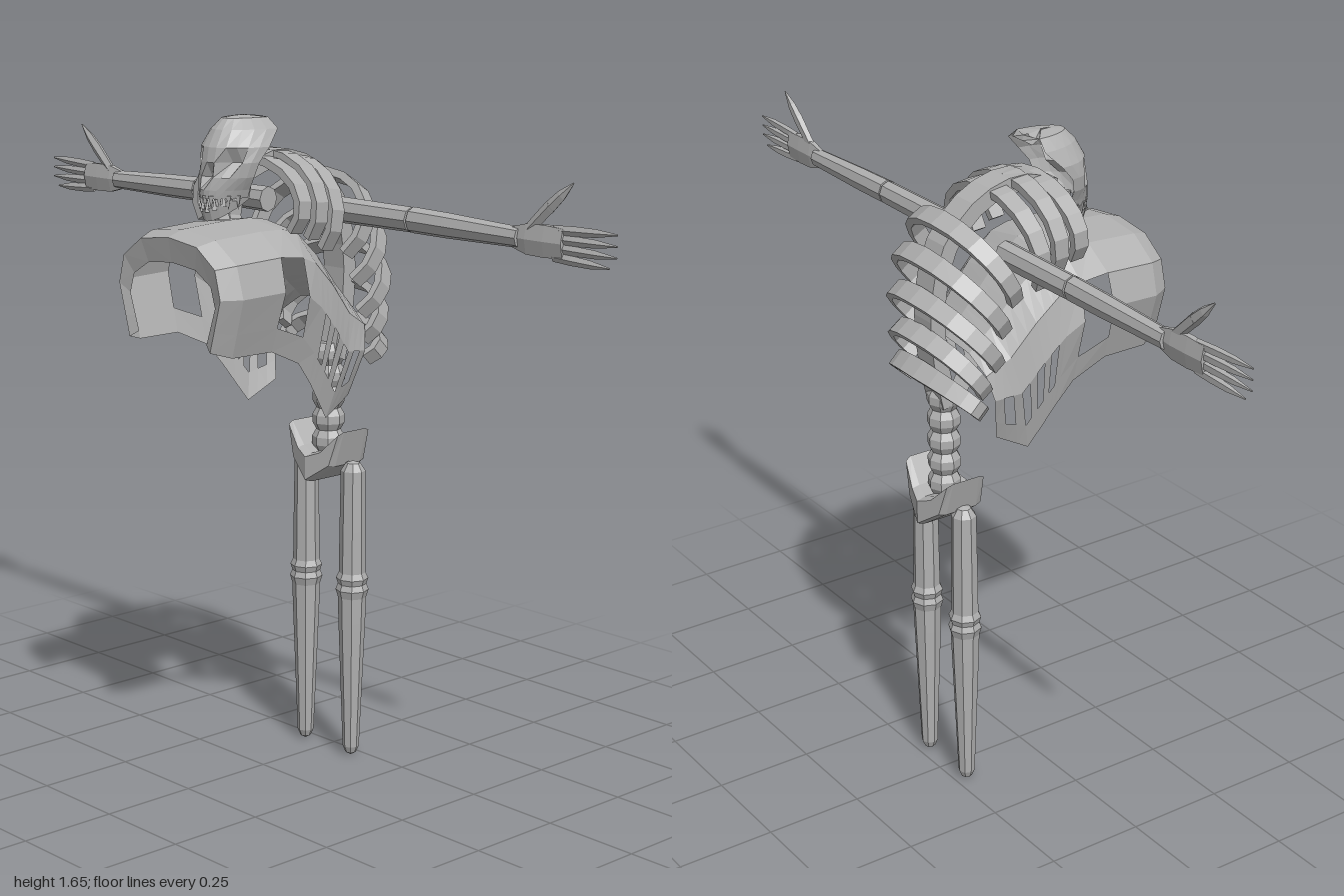
import * as THREE from 'three';

const bone = new THREE.MeshStandardMaterial({ color: 0xb0b0b0, flatShading: true, side: THREE.DoubleSide });
bone.name = 'bone grey';
const V = (x, y, z) => new THREE.Vector3(x, y, z);
const lerp = THREE.MathUtils.lerp;

function add(parent, name, geometry, x = 0, y = 0, z = 0) {
  const m = new THREE.Mesh(geometry, bone);
  m.name = name;
  m.position.set(x, y, z);
  parent.add(m);
  return m;
}

// Surface through rows of points; cells for which skip(row, column) holds stay open
function sheet(rows, skip = () => false) {
  const w = rows[0].length, idx = [];
  for (let i = 0; i < rows.length - 1; i++) for (let j = 0; j < w - 1; j++) {
    if (skip(i, j)) continue;
    const a = i * w + j, b = a + 1, c = a + w, d = c + 1;
    idx.push(a, c, b, b, c, d);
  }
  const g = new THREE.BufferGeometry().setFromPoints(rows.flat());
  g.setIndex(idx);
  const flat = g.toNonIndexed();
  flat.computeVertexNormals();
  return flat;
}

// Bar with a rectangular section: centre points and two half-size vectors at each
function bar(path) {
  const rows = path.map(({ c, u, v }) => [[1, 1], [1, -1], [-1, -1], [-1, 1], [1, 1]]
    .map(([p, q]) => c.clone().addScaledVector(u, p).addScaledVector(v, q)));
  const cap = c => Array.from({ length: 5 }, () => c.clone());
  return sheet([cap(path[0].c), ...rows, cap(path[path.length - 1].c)]);
}

const lathe = (pts, n) => new THREE.LatheGeometry(pts.map(([r, y]) => new THREE.Vector2(r, y)), n);

// Chest shell: arched stations from the front lip to the back
function chestShell(parent) {
  const key = [ // top z, top y, bottom z, bottom y, half width
    [.295, 1.325, .295, 1.145, .155], [.305, 1.385, .305, 1.13, .185], [.26, 1.4, .255, 1.115, .212],
    [.12, 1.408, .135, 1.115, .215], [.05, 1.408, .045, 1.075, .21], [0, 1.4, 0, 1.02, .2],
    [-.075, 1.335, -.035, .97, .19], [-.15, 1.25, -.07, .92, .178], [-.205, 1.19, -.155, .965, .165]];
  const st = key.slice(0, 6);
  for (let k = 5; k < 8; k++) for (let s = 1; s <= 3; s++) st.push(key[k].map((v, i) => lerp(v, key[k + 1][i], s / 3)));
  const half = [[.8, 0], [.88, .2], [1, .5], [.9, .77], [.55, .95]];
  const arch = [...half.map(([u, v]) => [-u, v]), [0, 1], ...half.slice().reverse()];
  const rows = st.map(([tz, ty, bz, by, w]) => arch.map(([u, v]) => V(.008 + u * w, lerp(by, ty, v), lerp(bz, tz, v))));
  const skip = (i, j) => {
    const r = Math.min(j, 9 - j);
    return (i === 3 && (r === 1 || r === 2)) || (i > 5 && i < 14 && i % 2 === 0 && r === 1);
  };
  add(parent, 'chestShell', sheet(rows, skip));
}

function ribCage(parent) {
  // Ribs: spine end z, y and side end z, y
  const ribs = [[.03, 1.55, .045, 1.39], [-.025, 1.56, -.01, 1.37], [-.085, 1.545, -.055, 1.34],
    [-.225, 1.49, -.125, 1.32], [-.275, 1.41, -.155, 1.25], [-.29, 1.315, -.175, 1.17],
    [-.29, 1.22, -.2, 1.1], [-.285, 1.125, -.21, 1.05]];
  ribs.forEach(([sz, sy, ez, ey], n) => {
    const across = V(0, ez - sz, sy - ey).normalize(), down = V(0, ey - sy, ez - sz).normalize();
    const w = n > 5 ? .165 : .185;
    for (const side of [1, -1]) {
      const path = [];
      for (let i = 0; i <= 6; i++) {
        const a = i / 6 * 2.1, t = (1 - Math.cos(a)) / (1 - Math.cos(2.1));
        const out = V(side * Math.sin(a), 0, 0).addScaledVector(down, -Math.cos(a)).normalize();
        path.push({
          c: V(side * w * Math.sin(a), lerp(sy, ey, t), lerp(sz, ez, t)),
          u: across.clone().multiplyScalar(.024 - .006 * i / 6), v: out.multiplyScalar(.01)
        });
      }
      add(parent, side > 0 ? 'leftRib' : 'rightRib', bar(path));
    }
  });
}

function spine(parent) {
  // Curved upper spine
  const curve = new THREE.CatmullRomCurve3([V(0, 1.52, .08), V(0, 1.55, -.02), V(0, 1.52, -.13),
    V(0, 1.43, -.22), V(0, 1.3, -.255), V(0, 1.15, -.25), V(0, 1.03, -.225)]);
  const path = [];
  for (let i = 0; i <= 14; i++) {
    const t = curve.getPoint(i / 14), d = curve.getTangent(i / 14);
    path.push({ c: t, u: V(.036, 0, 0), v: V(0, -d.z, d.y).multiplyScalar(.02) });
  }
  add(parent, 'upperSpine', bar(path));
  // Waisted vertebrae of the lower back
  const pts = [[0, .78]];
  for (let i = 0; i < 5; i++) {
    const y = .79 + i * .056;
    pts.push([.031, y], [.041, y + .018], [.041, y + .038]);
  }
  pts.push([.03, 1.07], [0, 1.07]);
  add(parent, 'lowerSpine', lathe(pts, 8), 0, 0, -.222);
}

// Pelvis: pointed crescent, thinner toward the tips
function pelvis(parent) {
  const s = new THREE.Shape([[0, .725], [.065, .77], [.09, .85], [.04, .8], [0, .785], [-.04, .8], [-.09, .85], [-.065, .77]]
    .map(([x, y]) => new THREE.Vector2(x, y)));
  const g = new THREE.ExtrudeGeometry(s, { depth: .11, bevelEnabled: true, bevelSize: .006, bevelThickness: .022, bevelSegments: 1 });
  g.translate(0, 0, -.055);
  const p = g.attributes.position;
  for (let i = 0; i < p.count; i++) p.setZ(i, p.getZ(i) * (1.05 - 4 * Math.abs(p.getX(i))));
  g.computeVertexNormals();
  add(parent, 'pelvis', g, 0, 0, -.222);
}

function legs(parent) {
  const thigh = [[0, .78], [.018, .775], [.031, .755], [.033, .6], [.034, .49], [.041, .475], [.036, .46], [0, .46]];
  const shin = [[0, .462], [.036, .46], [.042, .445], [.036, .425], [.034, .36], [.027, .18], [.021, .025], [.014, .008], [0, 0]];
  for (const [side, x] of [['left', .095], ['right', -.076]]) {
    add(parent, side + 'Thigh', lathe(thigh.slice().reverse(), 8), x, 0, -.218);
    add(parent, side + 'Shin', lathe(shin.slice().reverse(), 8), x, 0, -.218);
  }
}

// Tapered bone between two points through radii at even steps, flattened along z
function limb(parent, name, a, b, radii, n = 6, flat = 1) {
  const len = a.distanceTo(b);
  const pts = [[0, 0], ...radii.map((r, i) => [r, len * i / (radii.length - 1)]), [0, len]];
  const m = add(parent, name, lathe(pts, n), a.x, a.y, a.z);
  m.quaternion.setFromUnitVectors(V(0, 1, 0), b.clone().sub(a).normalize());
  m.scale.z = flat;
}

function arms(parent) {
  for (const s of [1, -1]) {
    const arm = new THREE.Group();
    arm.name = s > 0 ? 'leftArm' : 'rightArm';
    parent.add(arm);
    const P = (x, y) => V(s * x, y, -.125);
    limb(arm, 'upperArm', P(.12, 1.425), P(.38, 1.425), [.032, .031, .03], 8, .9);
    limb(arm, 'forearm', P(.385, 1.425), P(.72, 1.42), [.031, .03, .027, .024], 8, .85);
    limb(arm, 'palm', P(.69, 1.42), P(.85, 1.42), [.024, .04, .042, .038], 6, .35);
    for (let f = 0; f < 4; f++) {
      const y = 1.455 - f * .025;
      limb(arm, 'finger', P(.82, lerp(y, 1.42, .2)), P(f === 3 ? .98 : 1, y), [.011, .012, .01, .002], 5, .7);
    }
    limb(arm, 'thumb', P(.74, 1.435), P(.81, 1.5), [.014, .015, .016], 5, .7);
    limb(arm, 'thumbTip', P(.805, 1.495), P(.872, 1.555), [.016, .013, .002], 5, .7);
  }
}

function skull(parent) {
  const head = new THREE.Group();
  head.name = 'skull';
  parent.add(head);
  // Face mask: rows from crown to upper jaw: y, front z, half width, back z
  const rows = [[1.655, .085, .002, .06], [1.65, .125, .045, .025], [1.625, .15, .075, .02], [1.585, .172, .09, .06],
    [1.55, .178, .088, .09], [1.515, .18, .08, .1], [1.485, .188, .065, .1], [1.465, .188, .058, .1]].map(([y, zf, w, zb], i) => {
    const row = [];
    for (let j = -6; j <= 6; j++) {
      const a = j / 6 * Math.PI / 2, socket = i === 4 && (Math.abs(j) === 2 || Math.abs(j) === 3);
      const nose = i === 5 && j === 0;
      row.push(V(w * Math.sin(a), y, zb + (zf - zb) * Math.cos(a) - (socket ? .032 : nose ? .02 : 0)));
    }
    return row;
  });
  add(head, 'faceMask', sheet(rows));
  const crown = [V(0, 1.655, .06), V(0, 1.65, .025)];
  add(head, 'crownBack', sheet([crown, [V(.045, 1.65, .025), V(.04, 1.637, .008)], [V(0, 1.65, .012), V(0, 1.637, .008)],
    [V(-.045, 1.65, .025), V(-.04, 1.637, .008)], crown]));
  // Jaw band rising toward the back
  const jaw = [[], []];
  for (let j = -5; j <= 5; j++) {
    const a = j / 5 * Math.PI / 2, up = .05 * (1 - Math.cos(a));
    jaw[0].push(V(.058 * Math.sin(a), 1.44 + up, .09 + .1 * Math.cos(a)));
    jaw[1].push(V(.05 * Math.sin(a), 1.41 + up, .09 + .09 * Math.cos(a)));
  }
  add(head, 'jaw', sheet(jaw));
  // Teeth
  const tooth = new THREE.ConeGeometry(.008, .034, 4);
  for (let j = -4; j <= 4; j++) {
    const a = j / 4 * 1.25, x = .056 * Math.sin(a), z = .1 + .084 * Math.cos(a);
    add(head, 'upperTooth', tooth, x, 1.455, z).rotation.x = Math.PI;
    const b = a + .15;
    if (j < 4) add(head, 'lowerTooth', tooth, .054 * Math.sin(b), 1.45 + .05 * (1 - Math.cos(b)), .09 + .095 * Math.cos(b));
  }
}

export function createModel() {
  const model = new THREE.Group();
  model.name = 'skeleton';
  [chestShell, ribCage, spine, pelvis, legs, arms, skull].forEach(build => build(model));
  return model;
}
